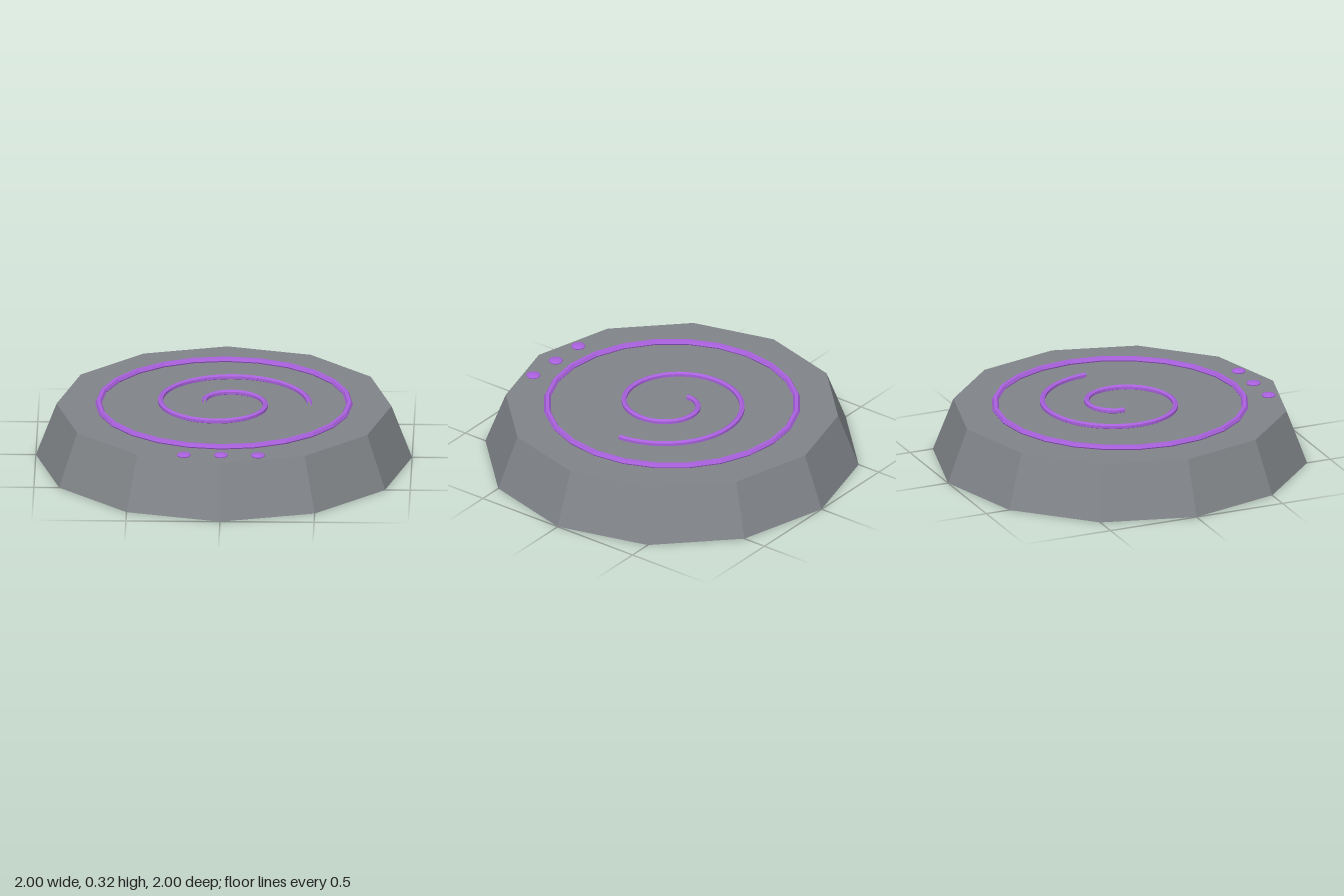
import * as THREE from 'three';

const STONE = 0x808488, GLOW = 0xa860dc;
const TOP = 0.29;

function mesh(name, geometry, color, flatShading) {
  const m = new THREE.Mesh(geometry, new THREE.MeshStandardMaterial({ color, flatShading }));
  m.name = name;
  return m;
}

// Spiral lying flat, its radius growing evenly with the angle
class FlatSpiral extends THREE.Curve {
  getPoint(t, target = new THREE.Vector3()) {
    const back = (1 - t) * Math.PI * 2 * 1.464;
    const r = 0.455 - 0.0377 * back;
    return target.set(r * Math.cos(back), 0, -r * Math.sin(back));
  }
}

export function createModel() {
  const model = new THREE.Group();
  model.name = 'runePlatform';

  // Twelve-sided tapered stone slab
  const slab = mesh('stoneSlab', new THREE.CylinderGeometry(0.89, 1, TOP, 12), STONE, true);
  slab.position.y = TOP / 2;
  model.add(slab);

  // Ring half sunk into the top face
  const ring = mesh('runeRing', new THREE.TorusGeometry(0.667, 0.018, 6, 24), GLOW, true);
  ring.rotation.x = -Math.PI / 2;
  ring.position.y = TOP + 0.007;
  model.add(ring);

  // Central spiral
  const spiral = mesh('runeSpiral', new THREE.TubeGeometry(new FlatSpiral(), 64, 0.015, 6), GLOW, true);
  spiral.material.side = THREE.DoubleSide;
  spiral.position.y = TOP + 0.011;
  model.add(spiral);

  // Three flattened studs near the front edge
  for (const x of [-0.197, 0, 0.197]) {
    const stud = mesh('runeStud', new THREE.SphereGeometry(0.038, 16, 10), GLOW, false);
    stud.scale.y = 0.3;
    stud.position.set(x, TOP + 0.004, 0.777);
    model.add(stud);
  }
  return model;
}
